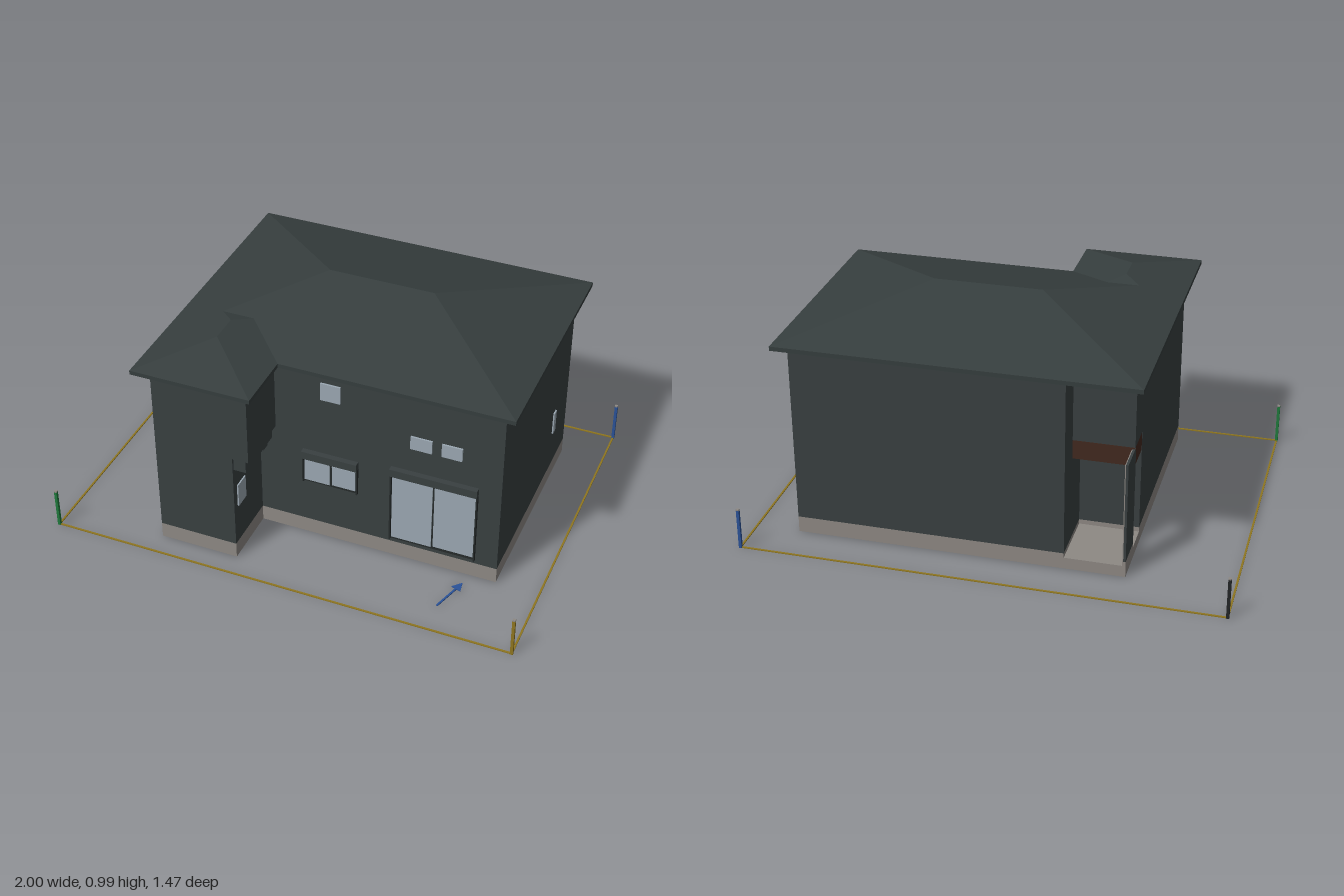
import * as THREE from 'three';

const mat = (name, color) => {
  const m = new THREE.MeshStandardMaterial({ color });
  m.name = name;
  return m;
};

export function createModel() {
  const model = new THREE.Group();
  const wall = mat('wall', 0x394041), roofMat = mat('roof', 0x363e3e), concrete = mat('concrete', 0x8e8984);
  const glass = mat('glass', 0x9ba8b2), frame = mat('frame', 0x262b2b), wood = mat('wood', 0x42291f);
  const green = mat('green', 0x1f7a3c), blue = mat('blue', 0x2a5298);
  const ochre = mat('ochre', 0x8f7620), black = mat('black', 0x222426);

  const add = (name, geometry, material) => {
    const mesh = new THREE.Mesh(geometry, material);
    mesh.name = name;
    model.add(mesh);
    return mesh;
  };
  // Box given by its extents on each axis
  const box = (name, material, [x0, x1], [y0, y1], [z0, z1]) => {
    const g = new THREE.BoxGeometry(x1 - x0, y1 - y0, z1 - z0);
    g.translate((x0 + x1) / 2, (y0 + y1) / 2, (z0 + z1) / 2);
    return add(name, g, material);
  };
  // Vertical prism over a plan outline of [x, z] points
  const plan = (pts) => pts.map(([x, z]) => new THREE.Vector2(x, -z));
  const prism = (name, material, pts, y0, y1, hole) => {
    const shape = new THREE.Shape(plan(pts));
    if (hole) shape.holes.push(new THREE.Path(plan(hole)));
    const g = new THREE.ExtrudeGeometry(shape, { depth: y1 - y0, bevelEnabled: false });
    g.rotateX(-Math.PI / 2).translate(0, y0, 0);
    return add(name, g, material);
  };
  // L-shaped plan with a wing at the front and a porch notch at the back;
  // d insets the outline
  const outline = (wingX, notchZ, d = 0) => [
    [0.81 - d, -0.55 + d], [0.81 - d, 0.37 - d], [wingX - d, 0.37 - d], [wingX - d, 0.63 - d],
    [-0.56 + d, 0.63 - d], [-0.56 + d, notchZ + d], [-0.31 + d, notchZ + d], [-0.31 + d, -0.55 + d],
  ];

  // Foundation, floor and storeys
  prism('foundation', concrete, outline(-0.22, -0.28), 0, 0.07, outline(-0.22, -0.28, 0.035));
  prism('floorUnderside', wood, outline(-0.22, -0.28, 0.03), 0.05, 0.07);
  prism('lowerWalls', wall, outline(-0.22, -0.28), 0.07, 0.512);
  prism('upperWalls', wall, outline(-0.15, -0.42), 0.512, 0.85);

  // Overhang trim beside the wing
  box('overhangBand', wall, [-0.22, -0.167], [0.45, 0.512], [0.37, 0.62]);
  box('overhangBracket', wall, [-0.22, -0.19], [0.4, 0.45], [0.37, 0.405]);

  // Corner porch
  box('porchSlab', concrete, [-0.56, -0.31], [0, 0.05], [-0.55, -0.15]);
  box('porchCurb', concrete, [-0.56, -0.545], [0, 0.07], [-0.55, -0.4]);
  box('porchScreen', wall, [-0.56, -0.55], [0.07, 0.505], [-0.55, -0.405]);
  box('porchScreenLining', concrete, [-0.55, -0.546], [0.07, 0.503], [-0.549, -0.406]);
  box('porchLintel', wood, [-0.559, -0.31], [0.43, 0.511], [-0.419, -0.28]);
  box('porchEaveSoffit', wood, [-0.56, -0.31], [0.842, 0.848], [-0.55, -0.42]);

  // Hipped roof: eave slab plus four equal slopes
  const hipRoof = (name, [x0, x1], [z0, z1], lift = 0) => {
    const bottom = 0.845 + lift, eave = 0.863, w = x1 - x0, d = z1 - z0;
    const half = Math.min(w, d) / 2, top = eave + half * 0.252;
    const ring = (y) => [[x0, y, z1], [x1, y, z1], [x1, y, z0], [x0, y, z0]];
    const b = ring(bottom), e = ring(eave), pos = [];
    const tri = (...p) => p.forEach((v) => pos.push(...v));
    const quad = (p, q, r, s) => tri(p, q, r, p, r, s);
    for (let i = 0; i < 4; i++) {
      const j = (i + 1) % 4;
      quad(b[i], b[j], e[j], e[i]);
    }
    quad(b[3], b[2], b[1], b[0]);
    if (w >= d) {
      const zm = (z0 + z1) / 2, l = [x0 + half, top, zm], r = [x1 - half, top, zm];
      quad(e[0], e[1], r, l);
      tri(e[1], e[2], r);
      quad(e[2], e[3], l, r);
      tri(e[3], e[0], l);
    } else {
      const xm = (x0 + x1) / 2, f = [xm, top, z1 - half], k = [xm, top, z0 + half];
      tri(e[0], e[1], f);
      quad(e[1], e[2], k, f);
      tri(e[2], e[3], k);
      quad(e[3], e[0], f, k);
    }
    const g = new THREE.BufferGeometry();
    g.setAttribute('position', new THREE.Float32BufferAttribute(pos, 3));
    g.computeVertexNormals();
    add(name, g, roofMat);
  };
  hipRoof('mainRoof', [-0.62, 0.86], [-0.61, 0.42]);
  hipRoof('wingRoof', [-0.62, -0.11], [0.045, 0.68], 0.0005);

  // Front panes: [x0, x1, y0, y1]
  [[0.05, 0.135, 0.705, 0.785], [0.43, 0.52, 0.575, 0.635], [0.56, 0.645, 0.575, 0.635],
    [-0.022, 0.088, 0.283, 0.393], [0.098, 0.2, 0.287, 0.383],
    [0.358, 0.53, 0.1, 0.42], [0.538, 0.71, 0.105, 0.415],
  ].forEach(([x0, x1, y0, y1]) => box('frontPane', glass, [x0, x1], [y0, y1], [0.37, 0.378]));

  // Dark frames and shutter boxes of the large openings
  [[-0.03, 0.21, 0.275, 0.4, 0.435], [0.35, 0.717, 0.09, 0.425, 0.46]].forEach(([x0, x1, y0, y1, y2]) => {
    box('windowFrame', frame, [x0, x1], [y0, y1], [0.37, 0.375]);
    box('shutterBox', wall, [x0, x1], [y1, y2], [0.37, 0.395]);
    for (const x of [x0, x1 - 0.006]) box('shutterRail', frame, [x, x + 0.006], [y0, y1], [0.37, 0.385]);
  });

  // Side panes: [wall x, outward direction, z0, z1, y0, y1]
  [[0.81, 1, -0.37, -0.338, 0.25, 0.355], [-0.22, 1, 0.53, 0.6, 0.25, 0.355],
    [-0.56, -1, -0.195, -0.115, 0.705, 0.785], [-0.56, -1, 0.375, 0.455, 0.705, 0.785],
  ].forEach(([x, s, z0, z1, y0, y1]) =>
    box('sidePane', glass, [Math.min(x, x + s * 0.006), Math.max(x, x + s * 0.006)], [y0, y1], [z0, z1]));

  // Plot corner posts with pale caps
  [[-1, 1, green], [1, 1, ochre], [1, -1, blue], [-1, -1, black]].forEach(([sx, sz, m]) => {
    const x = sx * 0.994, z = sz * 0.729, r = 0.006;
    box('cornerPost', m, [x - r, x + r], [0, 0.174], [z - r, z + r]);
    box('cornerPostCap', concrete, [x - r, x + r], [0.174, 0.18], [z - r, z + r]);
  });

  // Plot boundary lines
  for (const s of [-1, 1]) {
    box('boundaryLine', ochre, [-0.994, 0.994], [0, 0.004], [s * 0.729 - 0.004, s * 0.729 + 0.004]);
    box('boundaryLine', ochre, [s * 0.994 - 0.004, s * 0.994 + 0.004], [0, 0.004], [-0.729, 0.729]);
  }

  // Flat direction arrow on the ground
  const arrow = prism('arrow', blue, [[-0.004, 0], [0.004, 0], [0.004, -0.125], [0.022, -0.125],
    [0, -0.17], [-0.022, -0.125], [-0.004, -0.125]], 0, 0.004);
  arrow.position.set(0.637, 0, 0.59);
  arrow.rotation.y = -0.31;

  return model;
}
